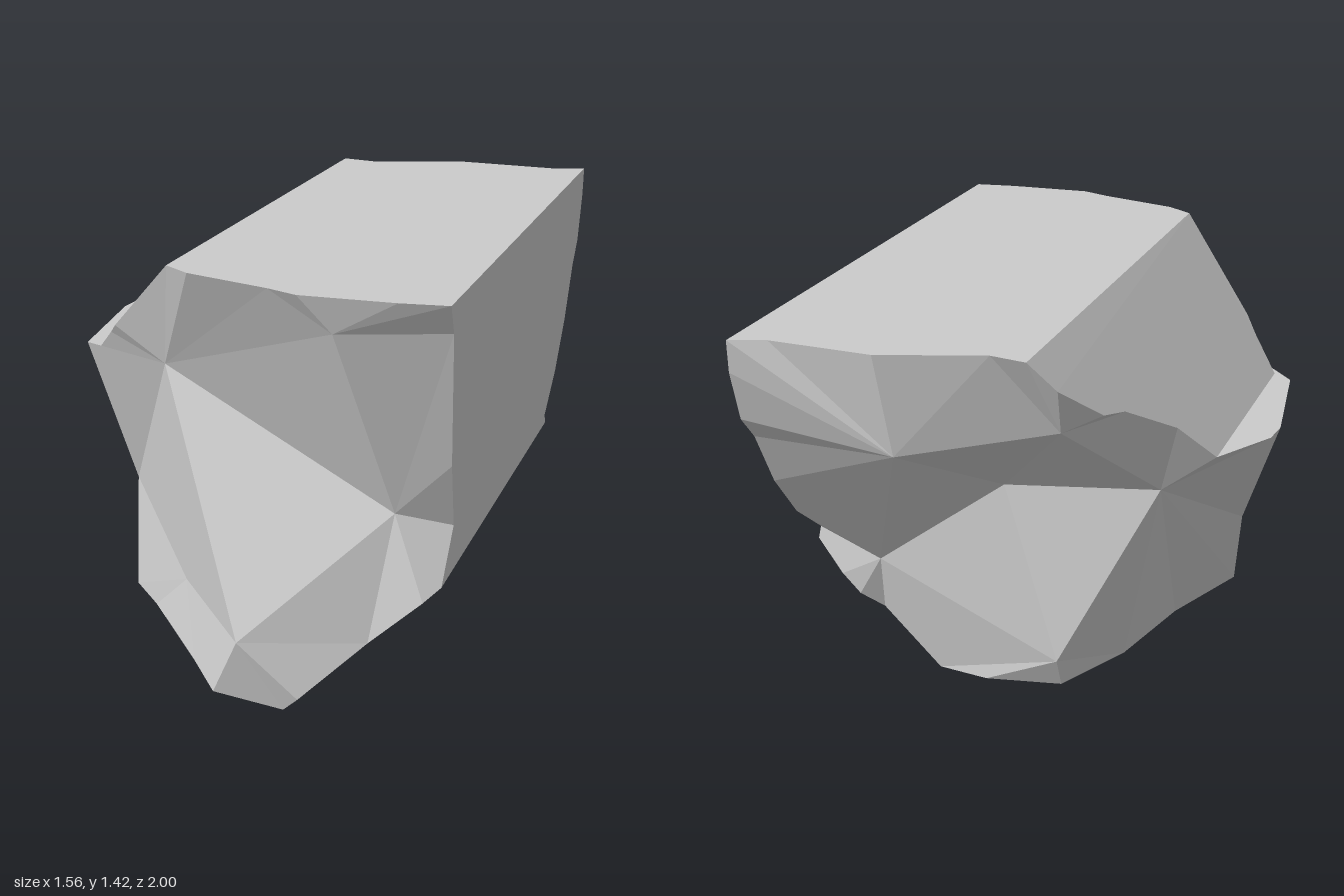
import * as THREE from 'three';

// Rim of the front break, running bottom, right side, top, left slope, ledge
const front = [
  [-0.53, 0, 0.44], [-0.39, 0, 0.55], [-0.09, 0, 0.83], [0.05, 0, 0.97], [0.31, 0, 0.975],
  [0.365, 0.06, 0.985], [0.56, 0.25, 0.86], [0.735, 0.43, 0.84], [0.78, 0.47, 0.79],
  [0.78, 0.64, 0.68], [0.78, 0.87, 0.73], [0.78, 1.32, 0.77], [0.78, 1.42, 0.81],
  [0.63, 1.42, 0.845], [0.325, 1.42, 0.89], [0.22, 1.42, 0.865], [-0.07, 1.42, 0.825],
  [-0.165, 1.42, 0.78], [-0.48, 1.11, 0.585], [-0.53, 1.06, 0.53], [-0.64, 0.95, 0.435],
  [-0.71, 0.95, 0.4],
];

// Rim of the back break, in the same order
const back = [
  [-0.385, 0, 0.11], [-0.295, 0, -0.23], [-0.15, 0, -0.5], [0.12, 0, -0.575], [0.31, 0, -0.575],
  [0.53, 0.22, -0.58], [0.6, 0.29, -0.63], [0.67, 0.36, -0.63], [0.78, 0.47, -0.6],
  [0.78, 0.51, -0.58], [0.78, 0.65, -0.72], [0.78, 0.83, -0.83], [0.78, 1.04, -0.91],
  [0.78, 1.13, -0.97], [0.78, 1.31, -1], [0.78, 1.42, -0.995], [0.66, 1.42, -0.945],
  [0.3, 1.42, -0.92], [-0.04, 1.42, -0.785], [-0.165, 1.42, -0.79], [-0.26, 1.33, -0.77],
  [-0.37, 1.22, -0.66], [-0.4, 1.19, -0.55], [-0.52, 1.07, -0.37], [-0.64, 0.95, -0.3],
  [-0.77, 0.95, -0.09], [-0.78, 0.95, 0],
];

// Peaks and hollows inside the breaks
const toe = [0.155, 0.235, 1], toeHollow = [-0.2, 0.21, 0.66], rightHollow = [0.605, 0.68, 0.75];
const brow = [0.43, 1.3, 0.86], cheek = [-0.25, 1.03, 0.66], leftHollow = [-0.585, 0.38, 0.3];
const backBrow = [0.24, 1.08, -0.93], backRight = [0.54, 0.42, -0.57], backLeft = [-0.45, 0.79, -0.315];
const backTop = [-0.24, 1.15, -0.7], backHollow = [0.115, 0.73, -0.39], backToe = [-0.145, 0.12, -0.53];

// Inclusive runs along the rims
const f = (a, b = a) => front.slice(a, b + 1);
const g = (a, b = a) => back.slice(a, b + 1);

// Triangles from a centre to each neighbouring pair of rim points
function fan(centre, ring, flip = false) {
  const out = [];
  for (let i = 0; i < ring.length - 1; i++) {
    out.push(centre, ...(flip ? [ring[i + 1], ring[i]] : [ring[i], ring[i + 1]]));
  }
  return out;
}

// Flat face between a run of the front rim and a run of the back rim
function flatFace(frontRun, backRun) {
  const ring = [...frontRun, ...backRun.slice().reverse()];
  const contour = ring.map(([x, y, z]) => new THREE.Vector2(x + y, z));
  const out = [];
  for (const tri of THREE.ShapeUtils.triangulateShape(contour, [])) {
    const [a, b, c] = tri.map((i) => new THREE.Vector3(...ring[i]));
    const normal = b.clone().sub(a).cross(c.clone().sub(a));
    const outward = normal.dot(a.clone().sub(new THREE.Vector3(0, 0.7, a.z))) > 0;
    const [i, j, k] = tri;
    out.push(ring[i], ring[outward ? j : k], ring[outward ? k : j]);
  }
  return out;
}

function addPart(group, name, corners) {
  const geometry = new THREE.BufferGeometry();
  geometry.setAttribute('position', new THREE.Float32BufferAttribute(corners.flat(), 3));
  geometry.computeVertexNormals();
  const material = new THREE.MeshStandardMaterial({ color: 0xcccccc, flatShading: true });
  const mesh = new THREE.Mesh(geometry, material);
  mesh.name = name;
  group.add(mesh);
}

export function createModel() {
  const group = new THREE.Group();
  group.name = 'brokenStoneBlock';

  // Smooth cut faces of the block
  addPart(group, 'bottomFace', flatFace(f(0, 4), g(0, 4)));
  addPart(group, 'lowerBevel', flatFace(f(4, 8), g(4, 8)));
  addPart(group, 'sideFace', flatFace(f(8, 12), g(8, 15)));
  addPart(group, 'topFace', flatFace(f(12, 17), g(15, 19)));
  addPart(group, 'upperBevel', flatFace(f(17, 20), g(19, 24)));
  addPart(group, 'ledge', flatFace(f(20, 21), g(24, 26)));

  // Rough front break
  addPart(group, 'frontBreak', [
    ...fan(cheek, [toe, rightHollow, brow, ...f(15, 21), leftHollow, toeHollow, toe]),
    ...fan(rightHollow, [toe, ...f(6, 11), brow]),
    ...fan(brow, f(11, 15)),
    ...fan(toe, [toeHollow, ...f(2, 6)]),
    ...fan(toeHollow, [leftHollow, ...f(0, 2)]),
  ]);

  // Rough back and left break
  addPart(group, 'backBreak', [
    ...fan(backRight, [backHollow, backToe, ...g(4, 10), backBrow, backHollow], true),
    ...fan(backBrow, [...g(10, 18), backTop, backHollow], true),
    ...fan(backTop, [...g(18, 23), backLeft, backHollow], true),
    ...fan(backLeft, [...g(23, 26), leftHollow, ...f(0), ...g(0, 1), backToe, backHollow], true),
    ...fan(backToe, g(1, 4), true),
    ...fan(leftHollow, [...g(26), ...f(21)], true),
  ]);
  return group;
}
